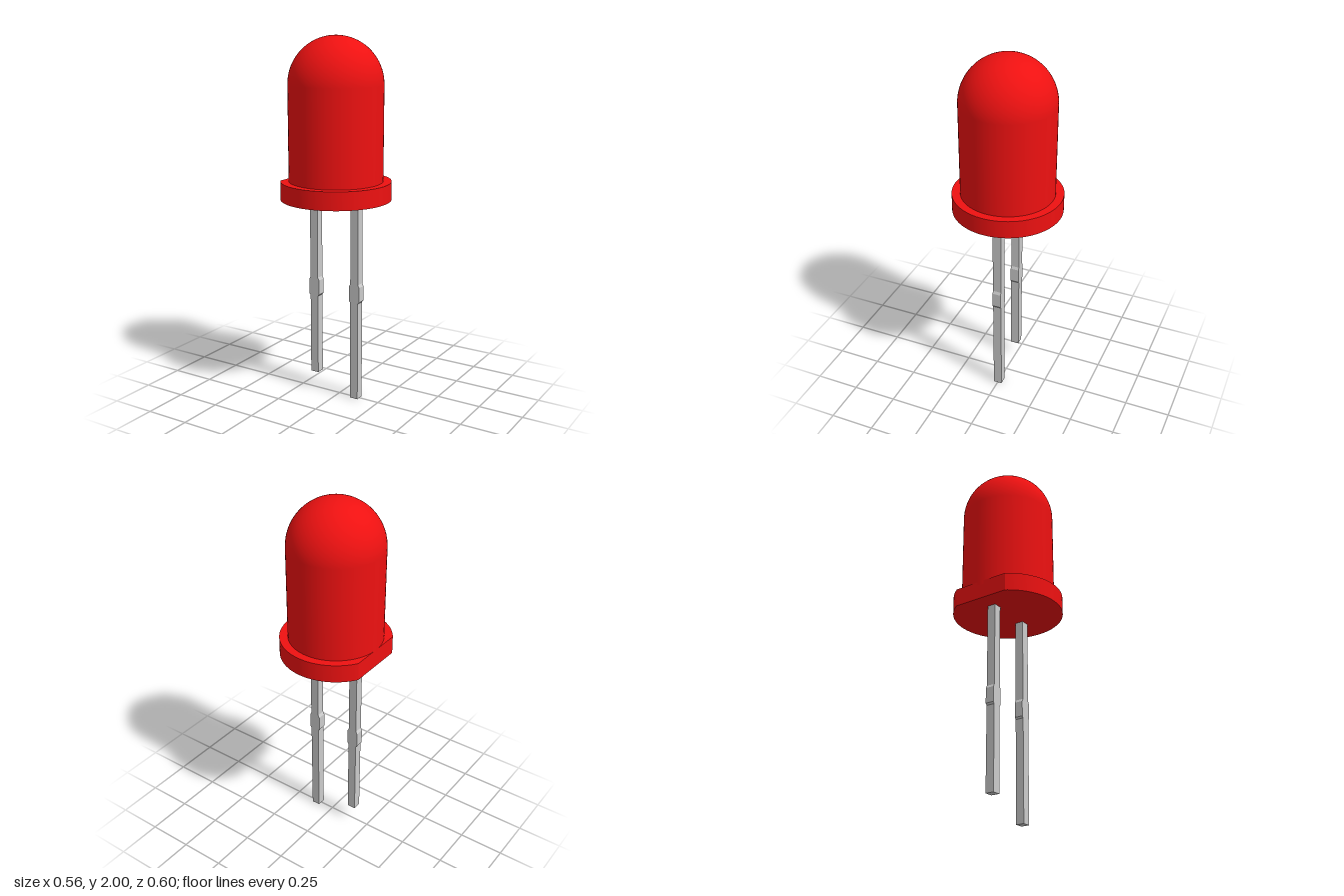
import * as THREE from 'three';
import { toCreasedNormals } from 'three/addons/utils/BufferGeometryUtils.js';

const AXIS_X = -0.023; // body axis, offset because one side of the rim is cut flat
const BODY_R = 0.255, RIM_R = 0.3;
const RIM_BOTTOM = 1.13, RIM_TOP = 1.23, TOP = 2;

// Cylinder wall running smoothly into a hemispherical tip
function domeGeometry() {
  const centreY = TOP - BODY_R;
  const profile = [new THREE.Vector2(BODY_R, RIM_TOP - 0.02)];
  for (let i = 0; i <= 20; i++) {
    const a = (i / 20) * Math.PI / 2;
    profile.push(new THREE.Vector2(BODY_R * Math.cos(a), centreY + BODY_R * Math.sin(a)));
  }
  return new THREE.LatheGeometry(profile, 64);
}

// Disc with a flat cut on -x
function rimGeometry() {
  const a = Math.PI - Math.acos(0.254 / RIM_R);
  const outline = new THREE.Shape();
  outline.absarc(0, 0, RIM_R, -a, a, false);
  outline.closePath();
  const geo = new THREE.ExtrudeGeometry(outline, {
    depth: RIM_TOP - RIM_BOTTOM, bevelEnabled: false, curveSegments: 64,
  });
  geo.rotateX(-Math.PI / 2);
  return toCreasedNormals(geo, 0.4);
}

// Square wire with a slightly wider stop partway up
function leadGeometry(bottom) {
  const w = 0.024, stop = 0.032, depth = 0.048;
  const right = [
    [w, bottom], [w, 0.562], [stop, 0.572], [stop, 0.655], [w, 0.67], [w, RIM_BOTTOM + 0.02],
  ];
  const left = right.map(([x, y]) => [-x, y]).reverse();
  const outline = new THREE.Shape([...right, ...left].map(([x, y]) => new THREE.Vector2(x, y)));
  const geo = new THREE.ExtrudeGeometry(outline, { depth, bevelEnabled: false });
  return geo.translate(0, 0, -depth / 2);
}

export function createModel() {
  const model = new THREE.Group();
  model.name = 'indicatorLight';
  const red = new THREE.MeshStandardMaterial({ color: 0xee1111 });
  const grey = new THREE.MeshStandardMaterial({ color: 0xcccccc });

  const add = (name, geometry, material, x, y = 0) => {
    const mesh = new THREE.Mesh(geometry, material);
    mesh.name = name;
    mesh.position.set(x, y, 0);
    model.add(mesh);
  };

  add('dome', domeGeometry(), red, AXIS_X);
  add('rim', rimGeometry(), red, AXIS_X, RIM_BOTTOM);
  add('shortLead', leadGeometry(0.105), grey, AXIS_X - 0.13);
  add('longLead', leadGeometry(0), grey, AXIS_X + 0.13);
  return model;
}
